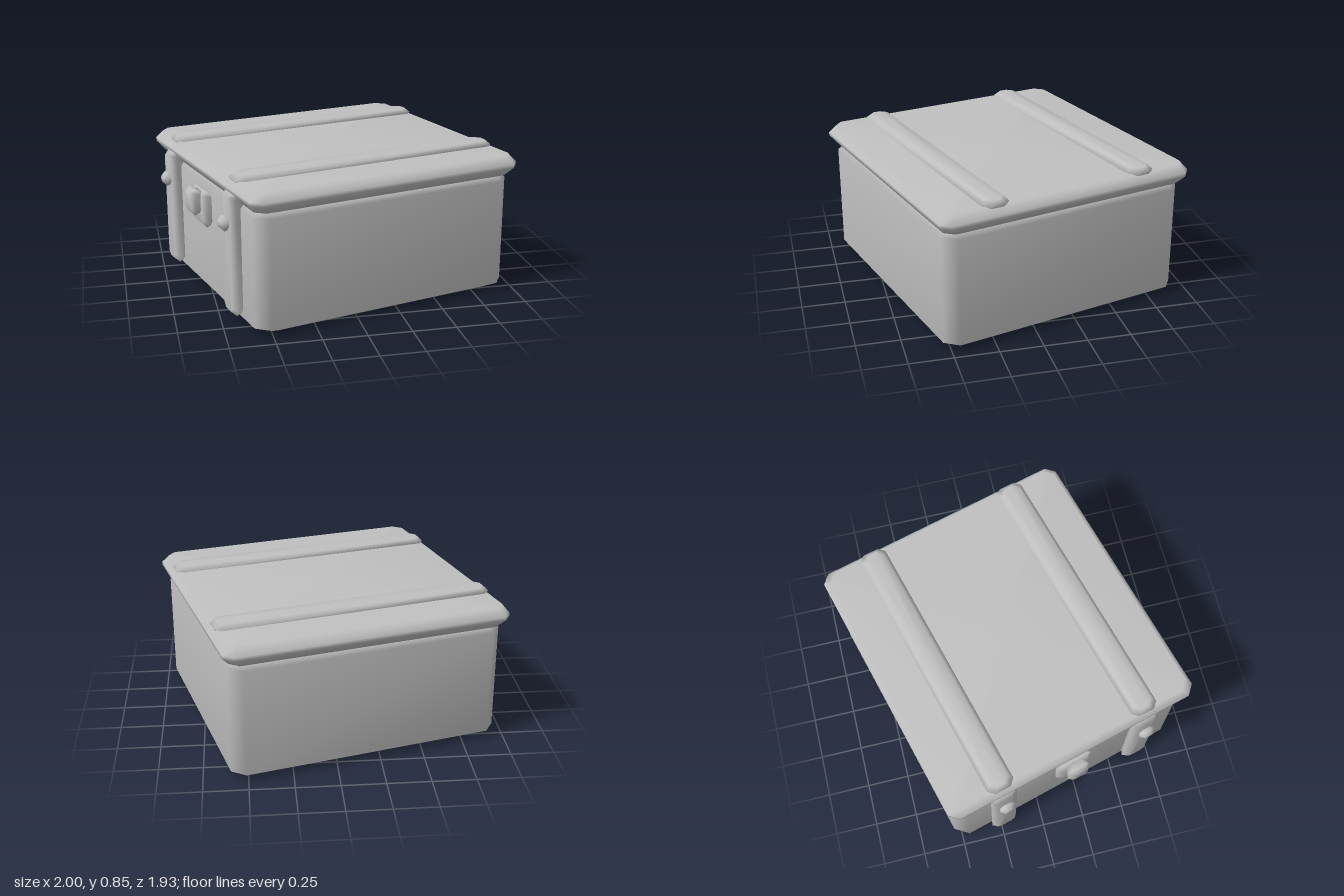
import * as THREE from 'three';

// Smooth-shaded block with cut corners: rings of [height, inset] stacked along y.
function bevelBlock(halfX, halfZ, cut, rings) {
  const pos = [], index = [];
  for (const [y, inset] of rings) {
    const a = halfX - inset, b = halfZ - inset, c = Math.min(cut, a * 0.7, b * 0.7);
    const loop = [[a, b - c], [a, c - b], [a - c, -b], [c - a, -b], [-a, c - b], [-a, b - c], [c - a, b], [a - c, b]];
    for (const [x, z] of loop) pos.push(x, y, z);
  }
  const last = (rings.length - 1) * 8, bottom = rings.length * 8, top = bottom + 1;
  pos.push(0, rings[0][0], 0, 0, rings[rings.length - 1][0], 0);
  for (let i = 0; i < 8; i++) {
    const j = (i + 1) % 8;
    for (let r = 0; r < last; r += 8) {
      index.push(r + i, r + j, r + 8 + j, r + i, r + 8 + j, r + 8 + i);
    }
    index.push(bottom, j, i, top, last + i, last + j);
  }
  const geo = new THREE.BufferGeometry();
  geo.setAttribute('position', new THREE.Float32BufferAttribute(pos, 3));
  geo.setIndex(index);
  geo.computeVertexNormals();
  return geo;
}

export function createModel() {
  const model = new THREE.Group();
  model.name = 'chest';
  const grey = new THREE.MeshStandardMaterial({ color: 0xc0c0c0 });
  grey.name = 'grey';

  const chest = new THREE.Group();
  chest.name = 'turnedChest';
  chest.rotation.y = THREE.MathUtils.degToRad(15);
  model.add(chest);

  const add = (name, geo, x, y, z) => {
    const mesh = new THREE.Mesh(geo, grey);
    mesh.name = name;
    mesh.position.set(x, y, z);
    chest.add(mesh);
    return mesh;
  };
  // Fitting on the -x wall: its height axis points outwards
  const addToWall = (name, geo, x, y, z) => {
    add(name, geo, x, y, z).rotation.z = Math.PI / 2;
  };

  // Box and overhanging lid
  add('body', bevelBlock(0.8, 0.755, 0.07, [[0, 0.07], [0.04, 0], [0.67, 0], [0.705, 0.035]]), 0, 0, 0);
  add('lid', bevelBlock(0.835, 0.788, 0.05, [[0.702, 0.04], [0.752, 0], [0.772, 0], [0.82, 0.035]]), 0, 0, 0);

  for (const [side, z] of [['Back', -0.46], ['Front', 0.46]]) {
    // Strap across the lid, hinge bar down the wall, and its rivet
    add('lidStrap' + side, bevelBlock(0.818, 0.082, 0.035, [[0.79, 0.02], [0.822, 0], [0.848, 0.025]]), 0, 0, z);
    addToWall('hingeBar' + side,
      bevelBlock(0.353, 0.082, 0.025, [[-0.02, 0.02], [0.03, 0], [0.058, 0.025]]), -0.8, 0.403, z);
    addToWall('rivet' + side,
      bevelBlock(0.042, 0.048, 0.025, [[-0.02, 0.01], [0.02, 0], [0.043, 0.022]]), -0.855, 0.583, z);
  }

  // Latch: backing plate with a raised tab
  addToWall('latchPlate',
    bevelBlock(0.107, 0.115, 0.025, [[-0.02, 0.02], [0.025, 0], [0.05, 0.025]]), -0.8, 0.537, 0);
  addToWall('latchTab',
    bevelBlock(0.075, 0.068, 0.02, [[-0.02, 0.015], [0.03, 0], [0.052, 0.02]]), -0.85, 0.575, 0);

  return model;
}
